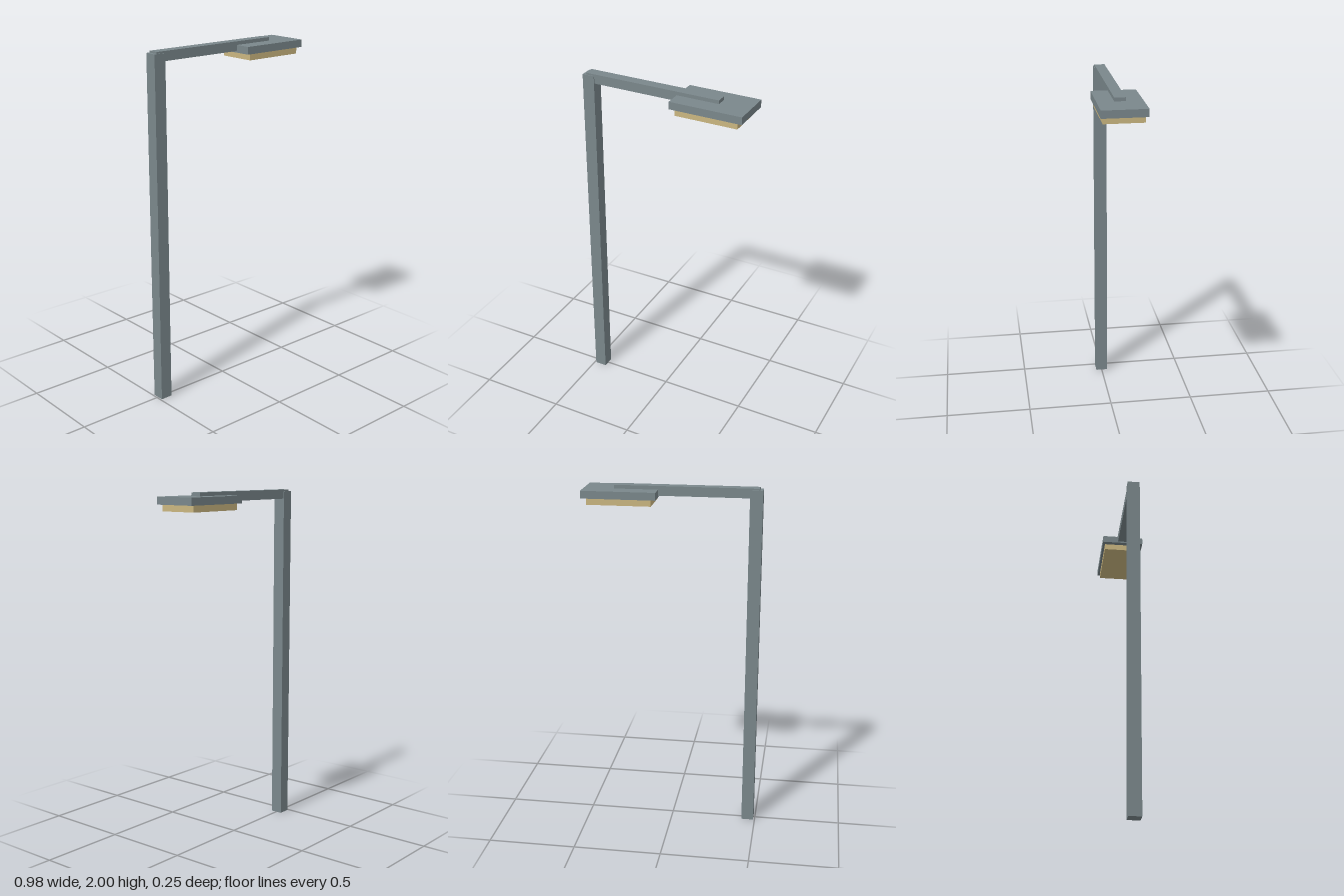
import * as THREE from 'three';

const material = (name, color) => {
  const m = new THREE.MeshStandardMaterial({ color });
  m.name = name;
  return m;
};

// Box given by its extents in x and y, centred on z = 0
function box(name, [x0, x1], [y0, y1], depth, mat) {
  const mesh = new THREE.Mesh(new THREE.BoxGeometry(x1 - x0, y1 - y0, depth), mat);
  mesh.position.set((x0 + x1) / 2, (y0 + y1) / 2, 0);
  mesh.name = name;
  return mesh;
}

export function createModel() {
  const metal = material('grey metal', 0x7a878b);
  const glow = material('warm lamp', 0xcab680);

  const group = new THREE.Group();
  group.name = 'streetLamp';
  group.add(
    box('post', [-0.491, -0.421], [0, 1.99], 0.07, metal),
    box('arm', [-0.473, 0.321], [1.947, 2], 0.06, metal),
    // Lamp head with the light panel below it
    box('lampHead', [0.079, 0.491], [1.938, 1.98], 0.245, metal),
    box('lightPanel', [0.106, 0.462], [1.902, 1.938], 0.219, glow),
  );
  return group;
}
